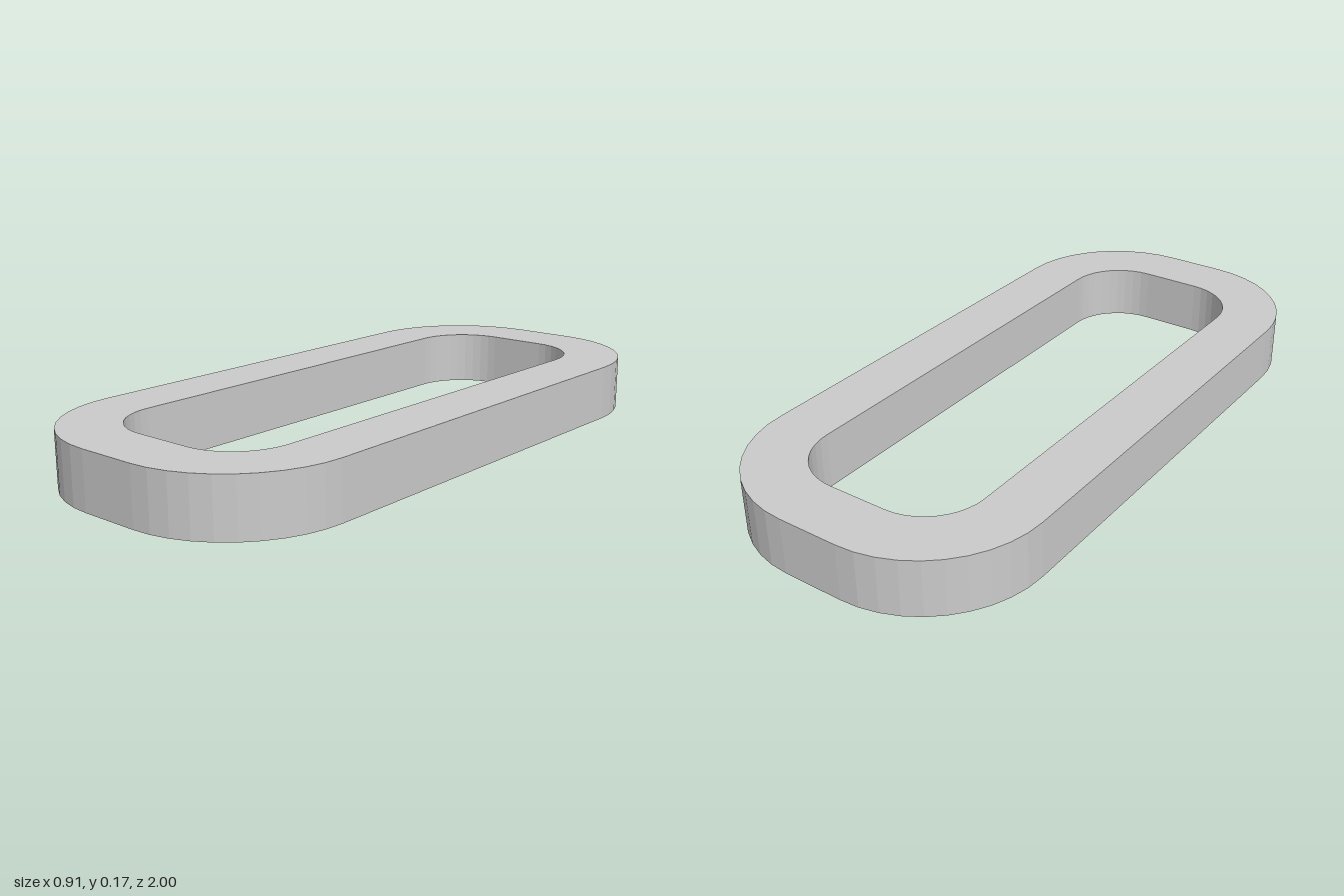
import * as THREE from 'three';

const HEIGHT = 0.17, CORNER_X = 0.093, CORNER_Z = 0.64;
const OUTER_RADIUS = 0.36, INNER_RADIUS = 0.18, CORNER_SEGMENTS = 10;

// Counterclockwise rounded rectangle; both outlines share corner centres.
function outline(radius) {
  const points = [];
  const corners = [[1, 1], [-1, 1], [-1, -1], [1, -1]];
  corners.forEach(([sx, sy], quarter) => {
    for (let i = 0; i <= CORNER_SEGMENTS; i++) {
      const angle = (quarter + i / CORNER_SEGMENTS) * Math.PI / 2;
      points.push(new THREE.Vector2(
        sx * CORNER_X + radius * Math.cos(angle),
        sy * CORNER_Z + radius * Math.sin(angle)));
    }
  });
  return points;
}

// Upright faceted band along a closed outline.
function wallGeometry(points) {
  const positions = [];
  points.forEach((a, i) => {
    const b = points[(i + 1) % points.length];
    positions.push(
      a.x, 0, -a.y, b.x, 0, -b.y, b.x, HEIGHT, -b.y,
      a.x, 0, -a.y, b.x, HEIGHT, -b.y, a.x, HEIGHT, -a.y);
  });
  const geometry = new THREE.BufferGeometry();
  geometry.setAttribute('position', new THREE.Float32BufferAttribute(positions, 3));
  geometry.computeVertexNormals();
  return geometry;
}

export function createModel() {
  const group = new THREE.Group();
  group.name = 'openBottomRing';
  const material = new THREE.MeshStandardMaterial({
    color: 0xcccccc, flatShading: true, side: THREE.DoubleSide,
  });
  const add = (name, geometry) => {
    const mesh = new THREE.Mesh(geometry, material);
    mesh.name = name;
    group.add(mesh);
  };

  const outer = outline(OUTER_RADIUS);
  const inner = outline(INNER_RADIUS);

  // Top face with the long opening; the underside stays open.
  const shape = new THREE.Shape(outer);
  shape.holes.push(new THREE.Path(inner));
  add('topFace', new THREE.ShapeGeometry(shape).rotateX(-Math.PI / 2).translate(0, HEIGHT, 0));

  // Thin walls; the inner one is reversed to face the opening.
  add('outerWall', wallGeometry(outer));
  add('innerWall', wallGeometry([...inner].reverse()));

  return group;
}
